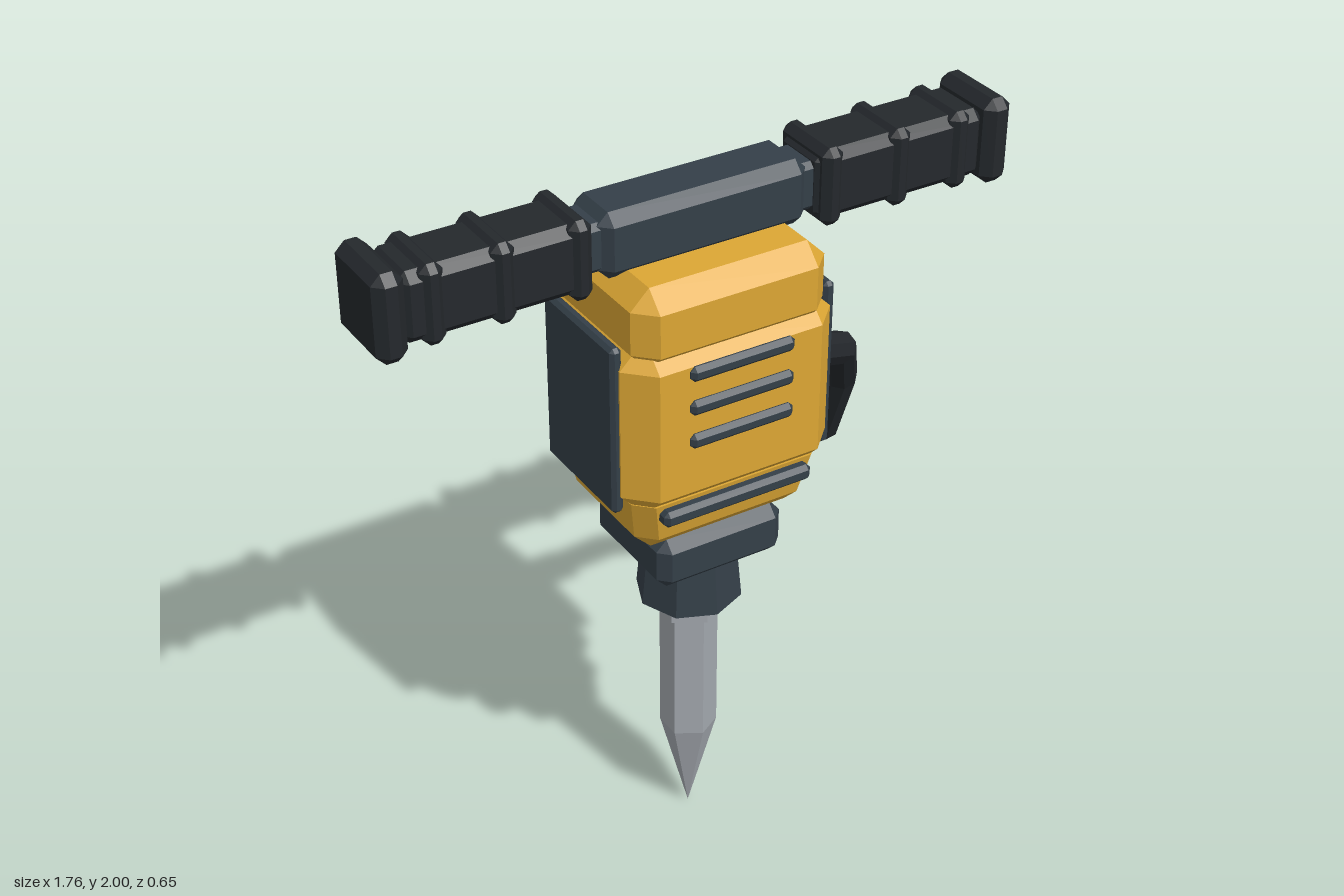
import * as THREE from 'three';

const AXIS_Z = 0.072; // depth of the tool's main axis

const paint = (color) => new THREE.MeshStandardMaterial({ color, flatShading: true });
const yellow = paint(0xdca634);
const steelBlue = paint(0x343f48);
const rubber = paint(0x24282c);
const metal = paint(0xa3a8ae);

// Solid lofted through corner-cut rectangles: rows of [y, halfX, halfZ, cornerCut], bottom to top
function loft(rows) {
  const pos = [];
  const rings = rows.map(([y, a, b, c]) => [
    [a, b - c], [a - c, b], [c - a, b], [-a, b - c],
    [-a, c - b], [c - a, -b], [a - c, -b], [a, c - b],
  ].map(([x, z]) => [x, y, z]));
  const tri = (p, q, r) => pos.push(...p, ...q, ...r);
  for (let i = 0; i + 1 < rings.length; i++) {
    for (let j = 0; j < 8; j++) {
      const k = (j + 1) % 8, lo = rings[i], hi = rings[i + 1];
      tri(lo[j], hi[j], hi[k]);
      tri(lo[j], hi[k], lo[k]);
    }
  }
  const first = rings[0], last = rings[rings.length - 1];
  for (let j = 1; j < 7; j++) {
    tri(first[0], first[j], first[j + 1]);
    tri(last[0], last[j + 1], last[j]);
  }
  const geo = new THREE.BufferGeometry();
  geo.setAttribute('position', new THREE.Float32BufferAttribute(pos, 3));
  geo.computeVertexNormals();
  return geo;
}

// Box with every edge bevelled by b
function bevelBox(w, h, d, b) {
  const x = w / 2, y = h / 2, z = d / 2;
  return loft([[-y, x - b, z - b, 0], [b - y, x, z, b], [y - b, x, z, b], [y, x - b, z - b, 0]]);
}

export function createModel() {
  const model = new THREE.Group();
  const add = (name, geo, mat, x, y, z = AXIS_Z, parent = model) => {
    const mesh = new THREE.Mesh(geo, mat);
    mesh.name = name;
    mesh.position.set(x, y, z);
    parent.add(mesh);
    return mesh;
  };

  // Chisel
  add('chiselTip', new THREE.ConeGeometry(0.0775, 0.3, 6).rotateX(Math.PI).rotateY(Math.PI), metal, 0, 0.15);
  add('chiselShaft', new THREE.CylinderGeometry(0.0775, 0.0775, 0.46, 6), metal, 0, 0.53);
  add('chiselCollar', new THREE.CylinderGeometry(0.095, 0.095, 0.08, 6), metal, 0, 0.735);
  add('chuck', new THREE.CylinderGeometry(0.127, 0.143, 0.17, 8), steelBlue, 0, 0.838);
  add('chuckBlock', bevelBox(0.37, 0.145, 0.345, 0.03), steelBlue, 0, 0.98);

  // Housing
  add('lowerHousing', loft([
    [1.05, 0.2, 0.14, 0], [1.1, 0.25, 0.19, 0.045], [1.22, 0.273, 0.216, 0.045],
  ]), yellow, 0, 0);
  add('mainHousing', bevelBox(0.6, 0.5, 0.48, 0.07), yellow, 0, 1.43);
  add('upperHousing', bevelBox(0.545, 0.22, 0.455, 0.052), yellow, 0, 1.708);

  // Front vents and trim
  for (const y of [1.59, 1.495, 1.4]) {
    add('vent', bevelBox(0.295, 0.042, 0.04, 0.012), steelBlue, 0, y, 0.307);
  }
  add('lowerTrim', bevelBox(0.43, 0.045, 0.05, 0.012), steelBlue, 0, 1.185, 0.29);

  // Handlebar
  add('handleBar', bevelBox(0.58, 0.175, 0.175, 0.03), steelBlue, 0, 1.885);
  add('handleCore', bevelBox(0.68, 0.13, 0.13, 0.015), steelBlue, 0, 1.885);
  for (const side of [1, -1]) {
    const grip = new THREE.Group();
    grip.name = side > 0 ? 'leftGrip' : 'rightGrip';
    model.add(grip);
    add('gripSleeve', bevelBox(0.5, 0.185, 0.185, 0.025), rubber, side * 0.56, 1.885, AXIS_Z, grip);
    for (const x of [0.35, 0.55, 0.73]) {
      add('gripRib', bevelBox(0.06, 0.21, 0.21, 0.02), rubber, side * x, 1.885, AXIS_Z, grip);
    }
    add('gripEnd', bevelBox(0.08, 0.232, 0.232, 0.025), rubber, side * 0.84, 1.885, AXIS_Z, grip);
    add('sidePanel', bevelBox(0.032, 0.47, 0.33, 0.01), steelBlue, side * 0.303, 1.435);
  }

  // Air hose with fitting
  add('hoseFitting', new THREE.CylinderGeometry(0.06, 0.06, 0.11, 8).rotateZ(Math.PI / 2), metal, 0.36, 1.317, 0.005);
  const points = [[0.39, 1.325, 0.005], [0.565, 1.24, -0.075], [0.645, 1.075, -0.175], [0.667, 0.835, -0.285]]
    .map((p) => new THREE.Vector3(...p));
  const path = new THREE.CatmullRomCurve3(points);
  path.getPointAt = path.getPoint; // rings land exactly on the bends
  path.getTangentAt = path.getTangent;
  add('hose', new THREE.TubeGeometry(path, 3, 0.047, 8), rubber, 0, 0, 0);
  [0, 1].forEach((t) => {
    const p = path.getPoint(t);
    const cap = add('hoseEnd', new THREE.CircleGeometry(0.047, 8), rubber, p.x, p.y, p.z);
    cap.lookAt(p.clone().addScaledVector(path.getTangent(t), t ? 1 : -1));
  });

  return model;
}
